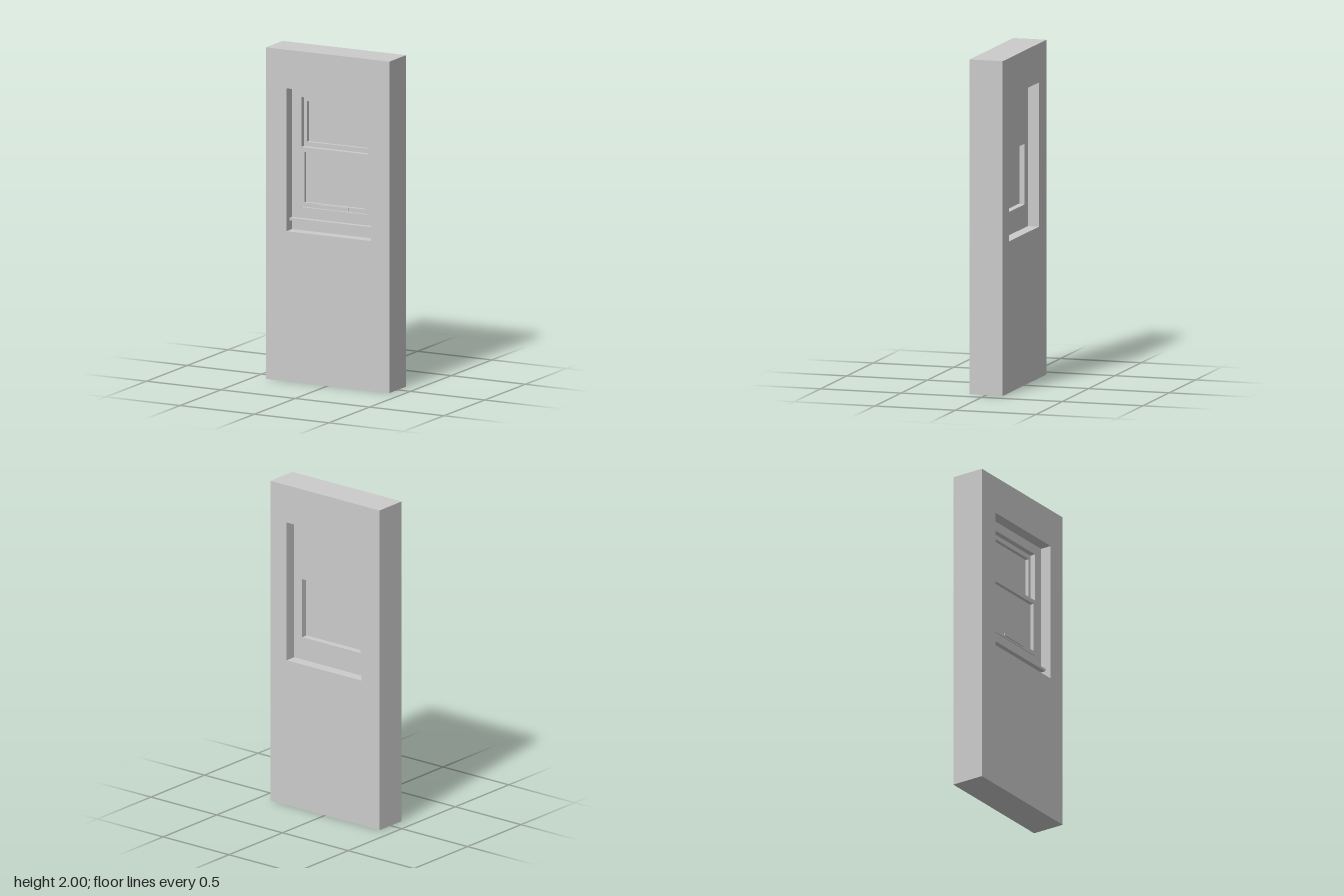
import * as THREE from 'three';

const material = new THREE.MeshStandardMaterial({ color: 0xcccccc, flatShading: true });

// Rectangle given as [left, right, bottom, top]
function outline(Type, [l, r, b, t]) {
  return new Type([[l, b], [r, b], [r, t], [l, t]].map(([x, y]) => new THREE.Vector2(x, y)));
}

// Rectangular ring running from z0 to z1
function ring(name, outer, inner, z0, z1) {
  const shape = outline(THREE.Shape, outer);
  shape.holes.push(outline(THREE.Path, inner));
  const geometry = new THREE.ExtrudeGeometry(shape, { depth: z1 - z0, bevelEnabled: false });
  geometry.translate(0, 0, z0);
  const mesh = new THREE.Mesh(geometry, material);
  mesh.name = name;
  return mesh;
}

// Solid block running from z0 to z1
function block(name, [l, r, b, t], z0, z1) {
  const mesh = new THREE.Mesh(new THREE.BoxGeometry(r - l, t - b, z1 - z0), material);
  mesh.position.set((l + r) / 2, (b + t) / 2, (z0 + z1) / 2);
  mesh.name = name;
  return mesh;
}

// Sash ring with a pane flush with its back
function sash(name, outer, pane, z0, z1) {
  const group = new THREE.Group();
  group.name = name;
  group.add(
    ring(name + 'Frame', outer, pane, z0, z1),
    block(name + 'Pane', pane, z0, z0 + 0.011)
  );
  return group;
}

export function createModel() {
  const model = new THREE.Group();
  model.name = 'wallWithSashWindow';

  const wallOpening = [-0.277, 0.292, 0.905, 1.767];
  const frameOpening = [-0.215, 0.23, 1.044, 1.708];

  // Wall panel and the window frame set midway in its thickness
  model.add(ring('wall', [-0.415, 0.415, 0, 2], wallOpening, -0.103, 0.103));
  model.add(ring('windowFrame', wallOpening, frameOpening, -0.033, 0.033));

  // Upper sash on the back track, lower sash on the front track
  model.add(sash('upperSash', [-0.215, 0.23, 1.407, 1.708], [-0.195, 0.213, 1.434, 1.679], -0.033, 0));
  model.add(sash('lowerSash', [-0.215, 0.23, 1.048, 1.407], [-0.195, 0.213, 1.074, 1.379], 0, 0.033));

  // Lift handle and outer sill
  model.add(block('liftHandle', [-0.09, 0.103, 1.058, 1.071], 0.033, 0.041));
  model.add(block('sill', [-0.277, 0.292, 0.963, 0.979], 0.033, 0.064));

  return model;
}
